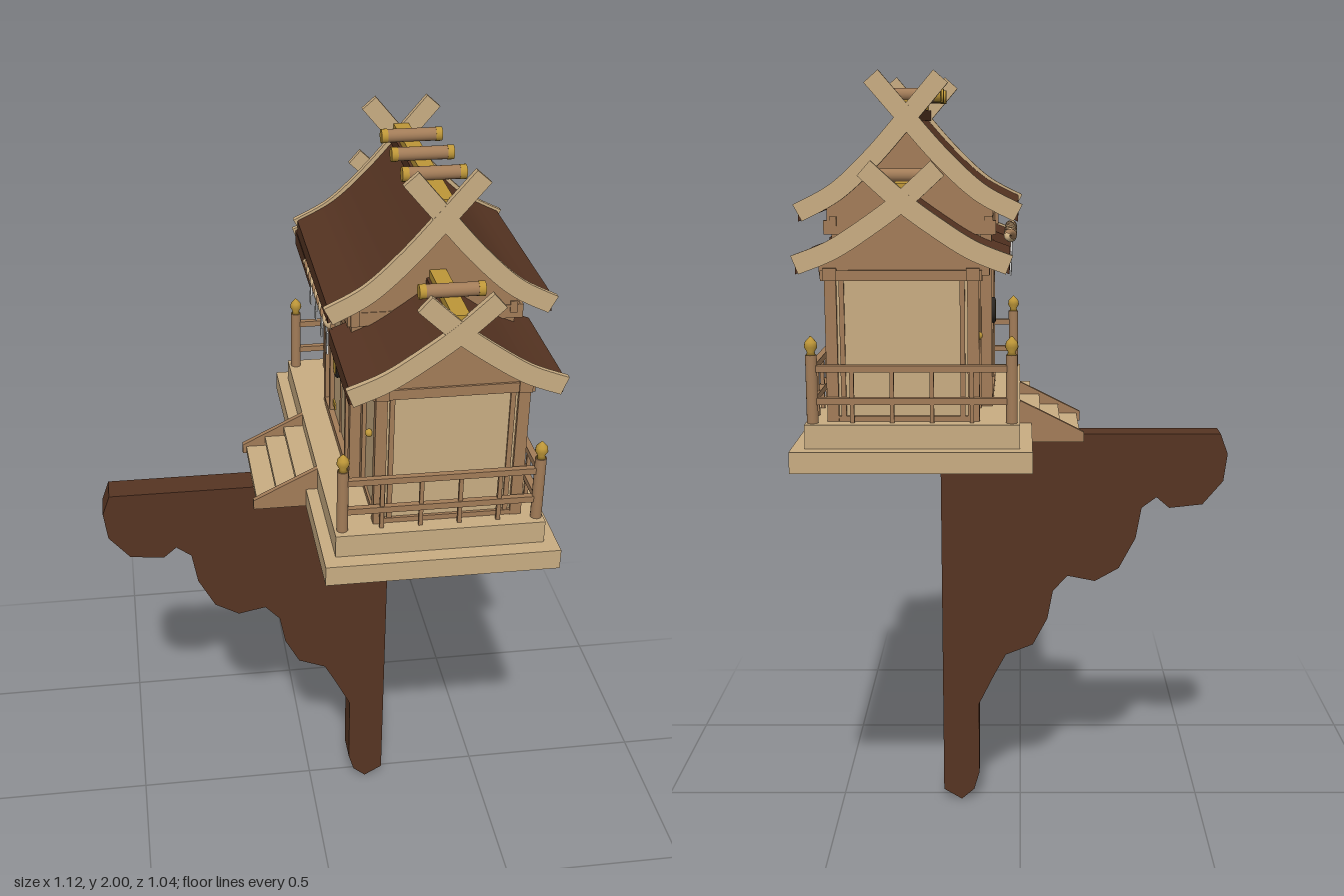
import * as THREE from 'three';
import { toCreasedNormals } from 'three/addons/utils/BufferGeometryUtils.js';

const mat = (name, color) => Object.assign(new THREE.MeshStandardMaterial({ color }), { name });
const M = {
  tan: mat('paleWood', 0xc8ac82),
  mid: mat('midWood', 0xa27c58),
  dark: mat('darkWood', 0x563422),
  gold: mat('gold', 0xbd9638),
  white: mat('paper', 0xd6d6d4),
  black: mat('blackIron', 0x2a2622),
};
const RIDGE = 0.275; // x of the roof ridge; the doors face -x

export function createModel() {
  const root = new THREE.Group();
  root.name = 'wallShrine';
  let parent = root;
  const group = (name, build) => {
    const g = new THREE.Group();
    g.name = name;
    root.add(g);
    parent = g;
    build();
    parent = root;
  };
  const add = (name, geo, m) => {
    const mesh = new THREE.Mesh(geo, m);
    mesh.name = name;
    parent.add(mesh);
    return mesh;
  };
  // box given by its limits
  const box = (name, m, x0, x1, y0, y1, z0, z1) => {
    const b = add(name, new THREE.BoxGeometry(x1 - x0, y1 - y0, Math.abs(z1 - z0)), m);
    b.position.set((x0 + x1) / 2, (y0 + y1) / 2, (z0 + z1) / 2);
    return b;
  };
  // outline in x,y pulled along z
  const slab = (name, m, pts, z0, z1, crease = 0.4) => {
    const geo = new THREE.ExtrudeGeometry(new THREE.Shape(pts), { depth: Math.abs(z1 - z0), bevelEnabled: false });
    geo.translate(0, 0, Math.min(z0, z1));
    return add(name, toCreasedNormals(geo, crease), m);
  };
  const V = (x, y) => new THREE.Vector2(x, y);
  const flip = (p) => V(2 * RIDGE - p.x, p.y);

  // Wall bracket
  slab('bracket', M.dark, [
    [-0.54, 1.055], [-0.56, 1.0], [-0.55, 0.925], [-0.495, 0.86], [-0.405, 0.85], [-0.37, 0.88], [-0.33, 0.85],
    [-0.315, 0.765], [-0.27, 0.68], [-0.205, 0.643], [-0.13, 0.658], [-0.09, 0.615], [-0.075, 0.535],
    [-0.035, 0.46], [0.04, 0.43], [0.07, 0.375], [0.115, 0.285], [0.115, 0.08], [0.13, 0.03], [0.165, 0],
    [0.215, 0.03], [0.215, 1.055],
  ].map((p) => V(...p)), -0.04, 0.04, 0.1);

  // Stepped base
  box('lowerBase', M.tan, -0.03, 0.55, 1.055, 1.107, -0.52, 0.52);
  box('upperBase', M.tan, 0, 0.517, 1.107, 1.165, -0.477, 0.477);

  // Stairs
  group('stairs', () => {
    for (const s of [-1, 1]) {
      slab('stairStringer', M.mid, [V(-0.167, 1.057), V(-0.167, 1.083), V(0, 1.167), V(0, 1.057)], s * 0.14, s * 0.155);
    }
    for (let i = 0; i < 3; i++) {
      const x = -0.157 + i * 0.052;
      box('stairTread', M.tan, x, x + 0.055, 1.06 + i * 0.027, 1.078 + i * 0.027, -0.14, 0.14);
      box('stairRiser', M.tan, x + 0.042, x + 0.05, 1.057, 1.078 + i * 0.027, -0.14, 0.14);
    }
  });

  // Railing round the back and both ends
  group('railing', () => {
    const finial = [[0, 0], [0.012, 0], [0.009, 0.008], [0.016, 0.02], [0.014, 0.032], [0.006, 0.041], [0, 0.047]];
    for (const s of [-1, 1]) {
      for (const x of [0.02, 0.5]) {
        const post = add('railPost', new THREE.CylinderGeometry(0.014, 0.014, 0.165, 16), M.mid);
        post.position.set(x, 1.2475, s * 0.447);
        const top = add('postFinial', new THREE.LatheGeometry(finial.map((p) => V(...p)), 16), M.gold);
        top.position.set(x, 1.329, s * 0.447);
      }
      for (const y of [1.218, 1.297]) box('endRail', M.mid, 0.02, 0.5, y - 0.008, y + 0.008, s * 0.439, s * 0.455);
      for (let i = 1; i < 5; i++) {
        const x = 0.02 + i * 0.096;
        box('railSpindle', M.mid, x - 0.005, x + 0.005, 1.165, 1.297, s * 0.442, s * 0.452);
      }
    }
    for (const y of [1.218, 1.297]) box('backRail', M.mid, 0.492, 0.508, y - 0.008, y + 0.008, -0.447, 0.447);
    for (let i = 1; i < 9; i++) {
      const z = -0.447 + i * 0.0993;
      box('railSpindle', M.mid, 0.495, 0.505, 1.165, 1.297, z - 0.005, z + 0.005);
    }
  });

  // Central hall
  group('mainHall', () => {
    box('mainWalls', M.tan, 0.085, 0.465, 1.165, 1.63, -0.21, 0.21);
    for (const s of [-1, 1]) {
      for (const x of [0.085, 0.457]) box('mainPost', M.mid, x - 0.014, x + 0.014, 1.165, 1.63, s * 0.2, s * 0.226);
      box('mainEndBeam', M.mid, 0.06, 0.49, 1.6, 1.635, s * 0.205, s * 0.232);
      box('doorPost', M.mid, 0.073, 0.09, 1.165, 1.55, s * 0.125, s * 0.143);
    }
    box('backBeam', M.mid, 0.457, 0.475, 1.615, 1.645, -0.235, 0.235);
    box('frontBeam', M.mid, 0.068, 0.09, 1.6, 1.645, -0.235, 0.235);
    box('doorLintel', M.mid, 0.073, 0.09, 1.535, 1.56, -0.2, 0.2);
    box('doorSill', M.mid, 0.07, 0.09, 1.165, 1.185, -0.2, 0.2);
    box('doorSeam', M.mid, 0.081, 0.087, 1.185, 1.535, -0.004, 0.004);
    for (const s of [-1, 1]) {
      for (const y of [1.21, 1.5]) box('doorHinge', M.gold, 0.081, 0.087, y - 0.008, y + 0.008, s * 0.09, s * 0.124);
    }
    // round emblem-free mirror on the doors
    const ring = add('mirrorRing', new THREE.TorusGeometry(0.028, 0.007, 10, 28), M.black);
    ring.rotation.y = Math.PI / 2;
    ring.position.set(0.072, 1.385, 0);
    const disc = add('mirrorDisc', new THREE.CylinderGeometry(0.025, 0.025, 0.016, 24), M.gold);
    disc.rotation.z = Math.PI / 2;
    disc.position.set(0.073, 1.385, 0);
  });

  // Side wings
  for (const s of [-1, 1]) {
    group(s > 0 ? 'leftWing' : 'rightWing', () => {
      box('wingWalls', M.tan, 0.108, 0.456, 1.165, 1.535, s * 0.2, s * 0.422);
      for (const x of [0.112, 0.452]) {
        for (const z of [0.237, 0.418]) box('wingPost', M.mid, x - 0.014, x + 0.014, 1.165, 1.53, s * (z - 0.012), s * (z + 0.014));
        box('wingBeam', M.mid, x - 0.016, x + 0.016, 1.505, 1.535, s * 0.22, s * 0.44);
        box('wingSill', M.mid, x - 0.01, x + 0.01, 1.165, 1.18, s * 0.22, s * 0.43);
      }
      for (const x of [0.138, 0.426]) box('panelFrame', M.mid, x - 0.006, x + 0.006, 1.165, 1.51, s * 0.42, s * 0.428);
      box('wingEndBeam', M.mid, 0.09, 0.475, 1.505, 1.53, s * 0.415, s * 0.436);
      box('wingEndSill', M.mid, 0.1, 0.465, 1.165, 1.178, s * 0.415, s * 0.43);
      const knob = add('doorKnob', new THREE.SphereGeometry(0.01, 14, 10), M.gold);
      knob.position.set(0.102, 1.36, s * 0.325);
    });
  }

  // Curved gabled roof with crossed bargeboards, ridge bar and logs
  const roof = (name, path, x0, zRoof, zGable, ends, zRidge, logs) => group(name, () => {
    const curve = new THREE.SplineCurve(path.map((p) => V(...p)));
    const line = curve.getPoints(40);
    const half = line.filter((p) => p.x < RIDGE - 0.002 && p.x > x0);
    const apex = line.reduce((a, b) => (Math.abs(a.x - RIDGE) < Math.abs(b.x - RIDGE) ? a : b));
    const across = [...half, V(RIDGE, apex.y), ...half.map(flip).reverse()];
    const shift = (list, dy) => list.map((p) => V(p.x, p.y + dy));
    slab('roofShell', M.dark, [...shift(across, 0.018), ...shift(across, -0.022).reverse()], ...zRoof, 0.6);

    // gable infill under the shell
    const inner = across.filter((p) => p.x > 0.065 && p.x < 2 * RIDGE - 0.065);
    const floor = path[0][1] - 0.03;
    for (const [a, b] of zGable) {
      slab('gable', M.mid, [...shift(inner, -0.012), V(inner.at(-1).x, floor), V(inner[0].x, floor)], a, b);
    }

    // bargeboards run past the ridge as crossed finials
    const side = (d) => line.map((p, i) => {
      const t = curve.getTangent(i / 40);
      return V(p.x - t.y * d, p.y + t.x * d);
    });
    const board = [...side(0.023), ...side(-0.023).reverse()];
    for (const z of ends) {
      slab('bargeboard', M.tan, board, z - 0.008, z + 0.008);
      slab('bargeboard', M.tan, board.map(flip), z - 0.0075, z + 0.0075);
    }

    const y = apex.y + 0.014;
    box('ridgeBar', M.gold, RIDGE - 0.02, RIDGE + 0.02, y + 0.008, y + 0.028, ...zRidge);
    box('ridgeBase', M.dark, RIDGE - 0.027, RIDGE + 0.027, y - 0.02, y + 0.008, ...zRidge);
    for (const z of logs) {
      const log = add('ridgeLog', new THREE.CylinderGeometry(0.0165, 0.0165, 0.13, 20), M.mid);
      log.rotation.z = Math.PI / 2;
      log.position.set(RIDGE, y + 0.042, z);
      for (const s of [-1, 1]) {
        const cap = add('logCap', new THREE.CylinderGeometry(0.0175, 0.0175, 0.016, 20), M.gold);
        cap.rotation.z = Math.PI / 2;
        cap.position.set(RIDGE + s * 0.069, y + 0.042, z);
      }
    }
  });

  roof('mainRoof', [[0.005, 1.657], [0.1, 1.708], [0.19, 1.79], [RIDGE, 1.885], [0.359, 1.982]], 0,
    [-0.28, 0.28], [[-0.23, -0.21], [0.21, 0.23]], [-0.285, 0.285], [-0.28, 0.28], [-0.14, 0, 0.14]);
  for (const s of [-1, 1]) {
    roof(s > 0 ? 'leftRoof' : 'rightRoof', [[0.025, 1.548], [0.11, 1.582], [0.19, 1.632], [RIDGE, 1.694], [0.36, 1.77]], 0.024,
      [s * 0.165, s * 0.488], [[s * 0.41, s * 0.43]], [s * 0.492], [s * 0.225, s * 0.49], [s * 0.382]);
  }

  // Twisted rope with folded paper streamers across the front
  group('rope', () => {
    for (const k of [0, 1]) {
      const pts = [];
      for (let i = 0; i <= 60; i++) {
        const t = i / 60, a = t * 34 + k * Math.PI;
        pts.push(new THREE.Vector3(0.025 + Math.cos(a) * 0.008, 1.595 + Math.sin(a) * 0.008, -0.2 + 0.4 * t));
      }
      add('ropeStrand', new THREE.TubeGeometry(new THREE.CatmullRomCurve3(pts), 120, 0.009, 8), k ? M.tan : M.mid);
    }
    for (const z of [-0.15, -0.05, 0.05, 0.15]) {
      for (let i = 0; i < 3; i++) {
        const zi = z + (i % 2 ? 0.008 : -0.004), y = 1.585 - i * 0.03;
        box('paperStreamer', M.white, 0.02 + i * 0.001, 0.024 + i * 0.001, y - 0.033, y, zi - 0.009, zi + 0.009);
      }
    }
  });

  return root;
}
